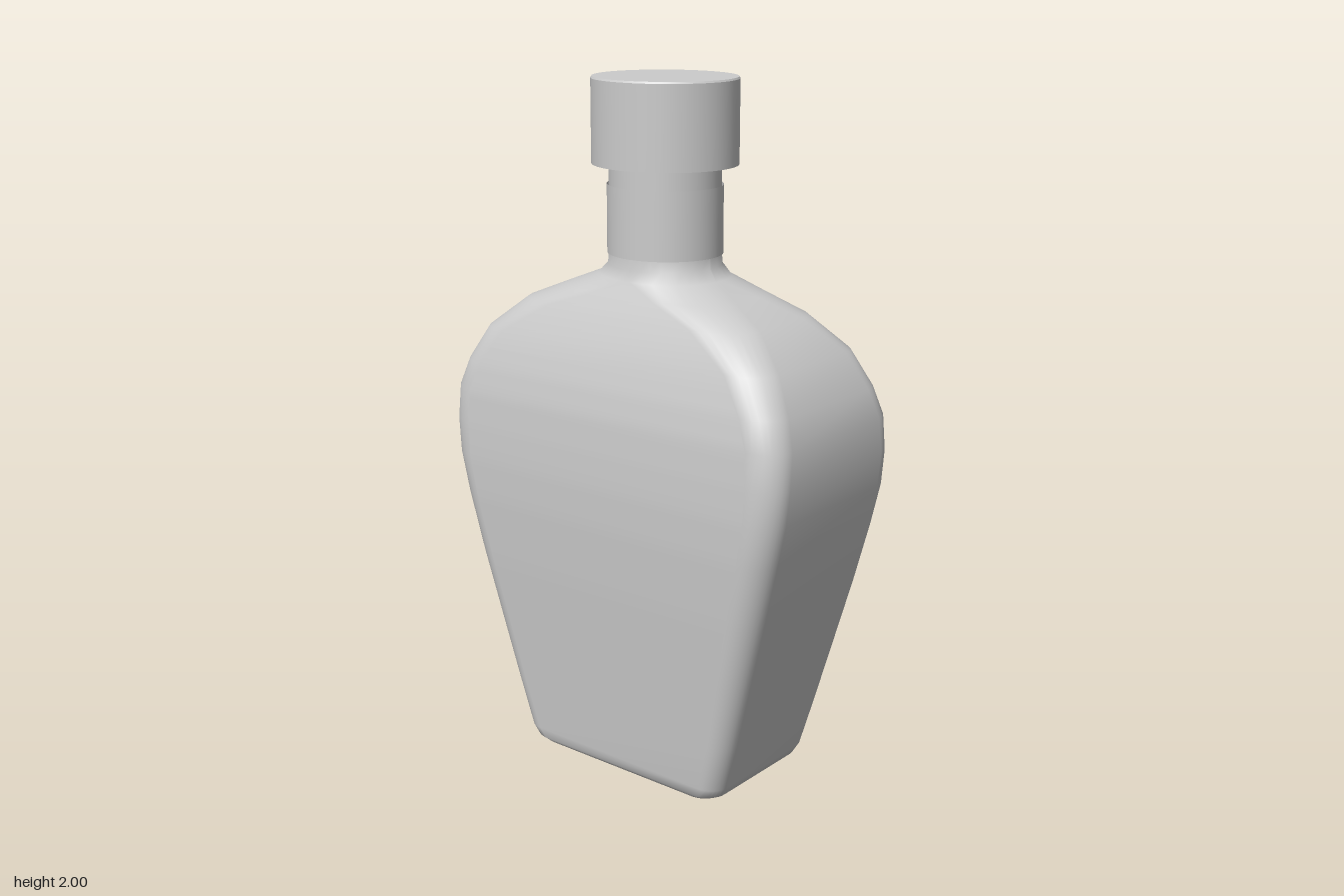
import * as THREE from 'three';

// Body sections: y, half width, half depth, corner radius in x, corner radius in z
const SECTIONS = [
  [0.01, 0.29, 0.17, 0.05, 0.05],
  [0.015, 0.325, 0.205, 0.06, 0.06],
  [0.03, 0.347, 0.219, 0.06, 0.06],
  [0.06, 0.364, 0.226, 0.06, 0.06],
  [0.2, 0.402, 0.238, 0.062, 0.06],
  [0.4, 0.455, 0.257, 0.07, 0.065],
  [0.6, 0.508, 0.275, 0.075, 0.07],
  [0.78, 0.553, 0.288, 0.08, 0.075],
  [0.9, 0.58, 0.292, 0.085, 0.075],
  [1.0, 0.59, 0.29, 0.09, 0.075],
  [1.1, 0.586, 0.284, 0.09, 0.08],
  [1.18, 0.56, 0.271, 0.095, 0.085],
  [1.28, 0.505, 0.245, 0.11, 0.09],
  [1.37, 0.4, 0.207, 0.15, 0.11],
  [1.42, 0.285, 0.183, 0.18, 0.13],
  [1.46, 0.19, 0.164, 0.18, 0.15],
  [1.49, 0.16, 0.155, 0.156, 0.151],
  [1.53, 0.158, 0.152, 0.155, 0.149],
];
const CORNER = 8;
const material = new THREE.MeshStandardMaterial({ color: 0xcccccc, side: THREE.DoubleSide });

// Section values at any height
function sectionAt(y) {
  const i = Math.max(1, SECTIONS.findIndex((s) => s[0] >= y));
  const a = SECTIONS[i - 1], b = SECTIONS[i];
  const t = (y - a[0]) / (b[0] - a[0]);
  return a.map((v, k) => v + (b[k] - v) * t);
}

// Rounded-rectangle loft, closed underneath
function bodyGeometry() {
  const pos = [], index = [], n = 4 * (CORNER + 1);
  for (const [y, w, d, rx, rz] of SECTIONS) {
    for (let q = 0; q < 4; q++) {
      const sx = q === 0 || q === 3 ? 1 : -1, sz = q < 2 ? 1 : -1;
      for (let i = 0; i <= CORNER; i++) {
        const a = (q + i / CORNER) * Math.PI / 2;
        pos.push(sx * (w - rx) + rx * Math.cos(a), y, sz * (d - rz) + rz * Math.sin(a));
      }
    }
  }
  for (let j = 0; j < SECTIONS.length - 1; j++) {
    for (let i = 0; i < n; i++) {
      const a = j * n + i, b = j * n + (i + 1) % n;
      index.push(a, a + n, b, b, a + n, b + n);
    }
  }
  const centre = pos.length / 3;
  pos.push(0, 0, 0);
  for (let i = 0; i < n; i++) index.push(centre, i, (i + 1) % n);
  const g = new THREE.BufferGeometry();
  g.setAttribute('position', new THREE.Float32BufferAttribute(pos, 3));
  g.setIndex(index);
  g.computeVertexNormals();
  return g;
}

// Thin panel that follows the front face
function panelGeometry() {
  const g = new THREE.PlaneGeometry(2, 1, 1, 40), p = g.attributes.position;
  for (let i = 0; i < p.count; i++) {
    const y = 0.19 + (p.getY(i) + 0.5) * 1.04;
    const [, w, d, rx] = sectionAt(y);
    p.setXYZ(i, p.getX(i) * (w - rx), y, d + 0.003);
  }
  g.computeVertexNormals();
  return g;
}

export function createModel() {
  const group = new THREE.Group();
  const add = (name, geometry) => {
    const mesh = new THREE.Mesh(geometry, material);
    mesh.name = name;
    group.add(mesh);
    return mesh;
  };
  // Open, slightly oval tube between two heights
  const tube = (name, rx, rz, y0, y1) => {
    const g = new THREE.CylinderGeometry(1, 1, y1 - y0, 64, 1, true);
    g.scale(rx, 1, rz).translate(0, (y0 + y1) / 2, 0);
    return add(name, g);
  };

  add('body', bodyGeometry());
  add('frontPanel', panelGeometry());

  // Neck and the thin band around it
  tube('neck', 0.158, 0.152, 1.5, 1.95);
  tube('neckBand', 0.164, 0.156, 1.52, 1.71);

  // Cap, hollow underneath
  tube('capWall', 0.207, 0.196, 1.765, 1.995);
  const top = new THREE.CylinderGeometry(0.985, 1, 0.005, 64);
  top.scale(0.207, 1, 0.196).translate(0, 1.9975, 0);
  add('capTop', top);

  return group;
}
